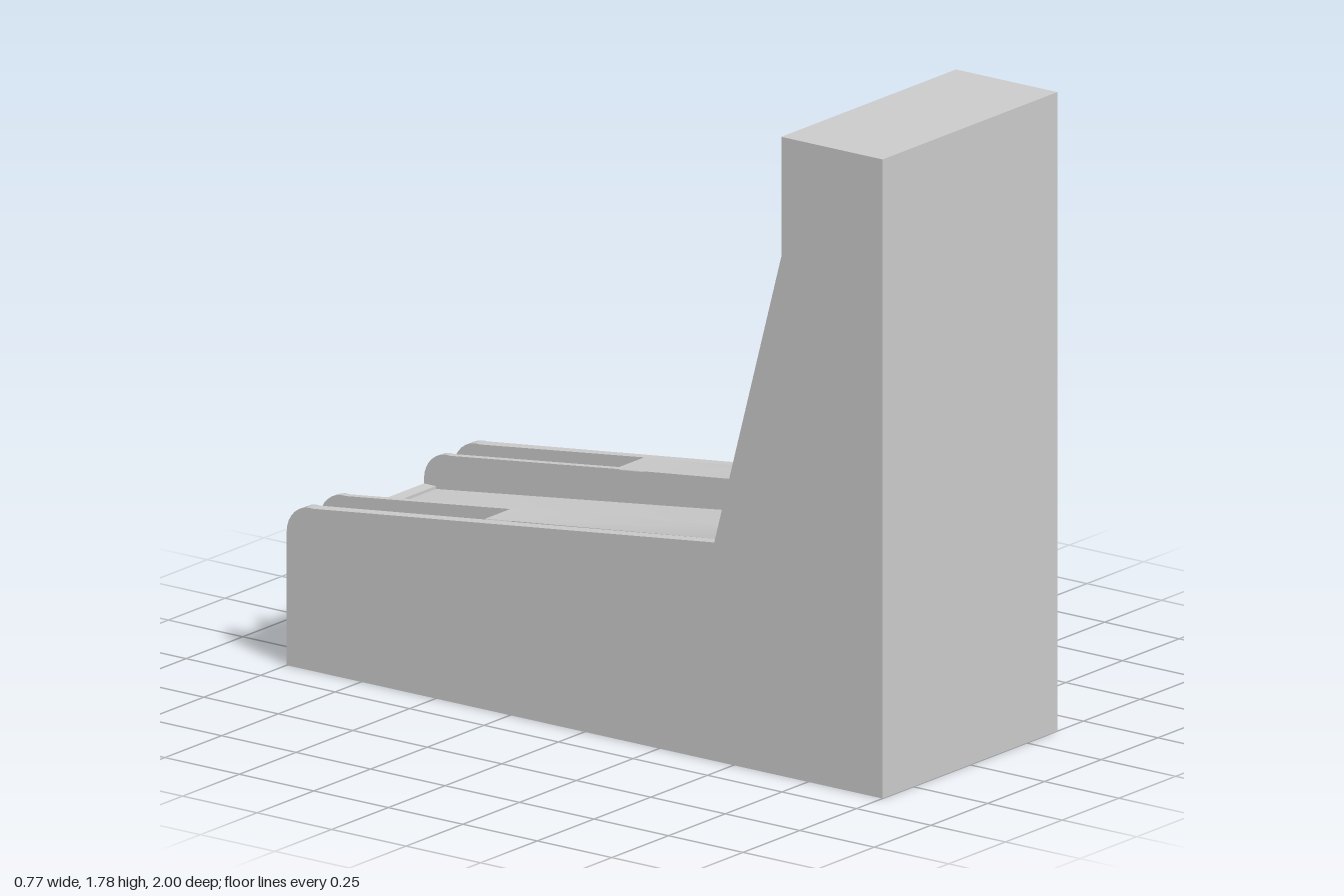
import * as THREE from 'three';
import { toCreasedNormals } from 'three/addons/utils/BufferGeometryUtils.js';

const material = new THREE.MeshStandardMaterial({ color: 0xcccccc, side: THREE.DoubleSide });

// Key widths (half extents along x) and profile points given as [z, y]
const OUT = 0.385, WALL = 0.35, SLOT = 0.24, LANE = 0.22;
const KNEE = [0.435, 0.61], BROW = [0.66, 1.45], TOP = 1.785;
const TILT = 0.3, BOARD_FOOT = [0.707, 0.756];
const boardZ = (y) => BOARD_FOOT[0] + TILT * (y - BOARD_FOOT[1]);
const BOARD_TOP = [boardZ(1.45), 1.45];

// Rounded nose shared by the rails and the slot floors
function nose(radius) {
  const pts = [];
  for (let i = 0; i <= 8; i++) {
    const a = (i / 8) * 1.68;
    pts.push([-0.92 - radius * Math.cos(a), 0.374 + radius * Math.sin(a)]);
  }
  return pts;
}
const railNose = nose(0.08);
const SLOT_END = [-0.36, 0.52];
const slotFloor = [[-1, 0.24], [-0.96, 0.24], ...nose(0.04), [-0.36, 0.45]];
const rampCurve = new THREE.SplineCurve(
  [[0.34, 0.515], [0.475, 0.552], [0.57, 0.618], [0.64, 0.69], BOARD_FOOT].map((p) => new THREE.Vector2(...p)));
const lane = [[-1, 0.36], [-0.96, 0.36], [-0.96, 0.352],
  ...rampCurve.getPoints(14).map((p) => [p.x, p.y])];

function add(parent, name, geometry) {
  const mesh = new THREE.Mesh(geometry, material);
  mesh.name = name;
  parent.add(mesh);
  return mesh;
}

// Ribbon that sweeps a [z, y] profile from x0 to x1
function strip(parent, name, profile, x0, x1) {
  const pos = [], index = [];
  profile.forEach(([z, y], i) => {
    pos.push(x0, y, z, x1, y, z);
    if (i) {
      const k = 2 * i;
      index.push(k - 2, k, k - 1, k - 1, k, k + 1);
    }
  });
  const g = new THREE.BufferGeometry();
  g.setAttribute('position', new THREE.Float32BufferAttribute(pos, 3));
  g.setIndex(index);
  return add(parent, name, toCreasedNormals(g, 0.5));
}

const shapeOf = (pts) => new THREE.Shape(pts.map((p) => new THREE.Vector2(...p)));

// Flat panel with a [z, y] outline standing at a given x
function panel(parent, name, outline, x) {
  const g = new THREE.ShapeGeometry(shapeOf(outline));
  g.rotateY(-Math.PI / 2);
  g.translate(x, 0, 0);
  return add(parent, name, g);
}

// Eight-sided raised ring on the target board
function ring(parent, name, x, y, outer, inner, height) {
  const octagon = (r) => Array.from({ length: 8 }, (_, i) => {
    const a = ((i + 0.5) * Math.PI) / 4;
    return [r * Math.cos(a), r * Math.sin(a)];
  });
  const s = shapeOf(octagon(outer));
  s.holes.push(shapeOf(octagon(inner)));
  const mesh = add(parent, name, new THREE.ExtrudeGeometry(s, { depth: height, bevelEnabled: false }));
  mesh.position.set(x, y, -height);
}

export function createModel() {
  const model = new THREE.Group();
  model.name = 'alleyBowlingMachine';

  // Cabinet shell, open underneath
  strip(model, 'cabinetBack', [[1, 0], [1, TOP]], -OUT, OUT);
  strip(model, 'cabinetTop', [[1, TOP], [0.66, TOP]], -OUT, OUT);
  strip(model, 'header', [[0.66, TOP], BROW], -OUT, OUT);
  strip(model, 'headerUnderside', [BROW, BOARD_TOP], -WALL, WALL);

  // Ball-end panel with notches for the lane and the two slots
  const half = [[LANE, 0.36], [LANE, 0.374], [SLOT, 0.374], [SLOT, 0.24],
    [WALL, 0.24], [WALL, 0.374], [OUT, 0.374], [OUT, 0]];
  const mirrored = half.map(([x, y]) => [-x, y]).reverse();
  const end = add(model, 'endPanel', new THREE.ShapeGeometry(shapeOf([...mirrored, ...half])));
  end.position.z = -1;

  // Lane with its upward jump
  strip(model, 'lane', lane, -LANE, LANE);

  for (const [s, side] of [[1, 'left'], [-1, 'right']]) {
    const g = new THREE.Group();
    g.name = side + 'Side';
    model.add(g);

    // Outer wall and the wall enclosing the target area
    panel(g, 'outerWall', [[1, 0], [1, TOP], [0.66, TOP], BROW, KNEE, ...[...railNose].reverse(), [-1, 0]], s * OUT);
    panel(g, 'targetWall', [KNEE, BROW, BOARD_TOP, BOARD_FOOT], s * WALL);
    strip(g, 'wallEdge', [KNEE, BROW], s * WALL, s * OUT);

    // Rail tops around the ball slot
    strip(g, 'outerRail', [...railNose, KNEE], s * WALL, s * OUT);
    strip(g, 'innerRail', [...railNose, SLOT_END], s * LANE, s * SLOT);
    strip(g, 'railTop', [SLOT_END, KNEE, BOARD_FOOT], s * LANE, s * WALL);

    // Sunken ball slot
    strip(g, 'slotFloor', [...slotFloor, SLOT_END], s * SLOT, s * WALL);
    for (const x of [SLOT, WALL]) {
      panel(g, 'slotWall', [...slotFloor, SLOT_END, ...[...railNose].reverse()], s * x);
    }

    // Rail face beside the lane
    panel(g, 'laneWall', [...lane, KNEE, ...[...railNose].reverse()], s * LANE);
  }

  // Sloping target board
  strip(model, 'targetBoard', [[boardZ(0.68), 0.68], BOARD_TOP], -WALL, WALL);
  const target = new THREE.Group();
  target.name = 'target';
  target.position.set(0, BOARD_FOOT[1], BOARD_FOOT[0]);
  target.rotation.x = Math.atan(TILT);
  model.add(target);
  const up = (y) => (y - BOARD_FOOT[1]) * Math.hypot(1, TILT);

  // Raised border with a V-shaped foot
  const border = [[0.335, 1.44], [0.3, 0.97], [0.2, 0.775], [0, 0.69]].map(([x, y]) => [x, up(y)]);
  const inner = [[0.315, 1.44], [0.281, 0.975], [0.188, 0.792], [0, 0.711]].map(([x, y]) => [x, up(y)]);
  const mirror = (pts) => pts.slice(0, -1).reverse().map(([x, y]) => [-x, y]);
  const outline = [...border, ...mirror(border), ...[...inner, ...mirror(inner)].reverse()];
  const rim = add(target, 'border', new THREE.ExtrudeGeometry(shapeOf(outline), { depth: 0.045, bevelEnabled: false }));
  rim.position.z = -0.045;

  // Scoring cups and the large ring around the lower pair
  ring(target, 'largeRing', 0, up(0.875), 0.168, 0.146, 0.035);
  for (const [x, y] of [[0, 0.813], [0, 0.953], [0, 1.08], [0.23, 1.235], [-0.23, 1.235]]) {
    ring(target, 'cup', x, up(y), 0.074, 0.053, 0.04);
  }
  return model;
}
